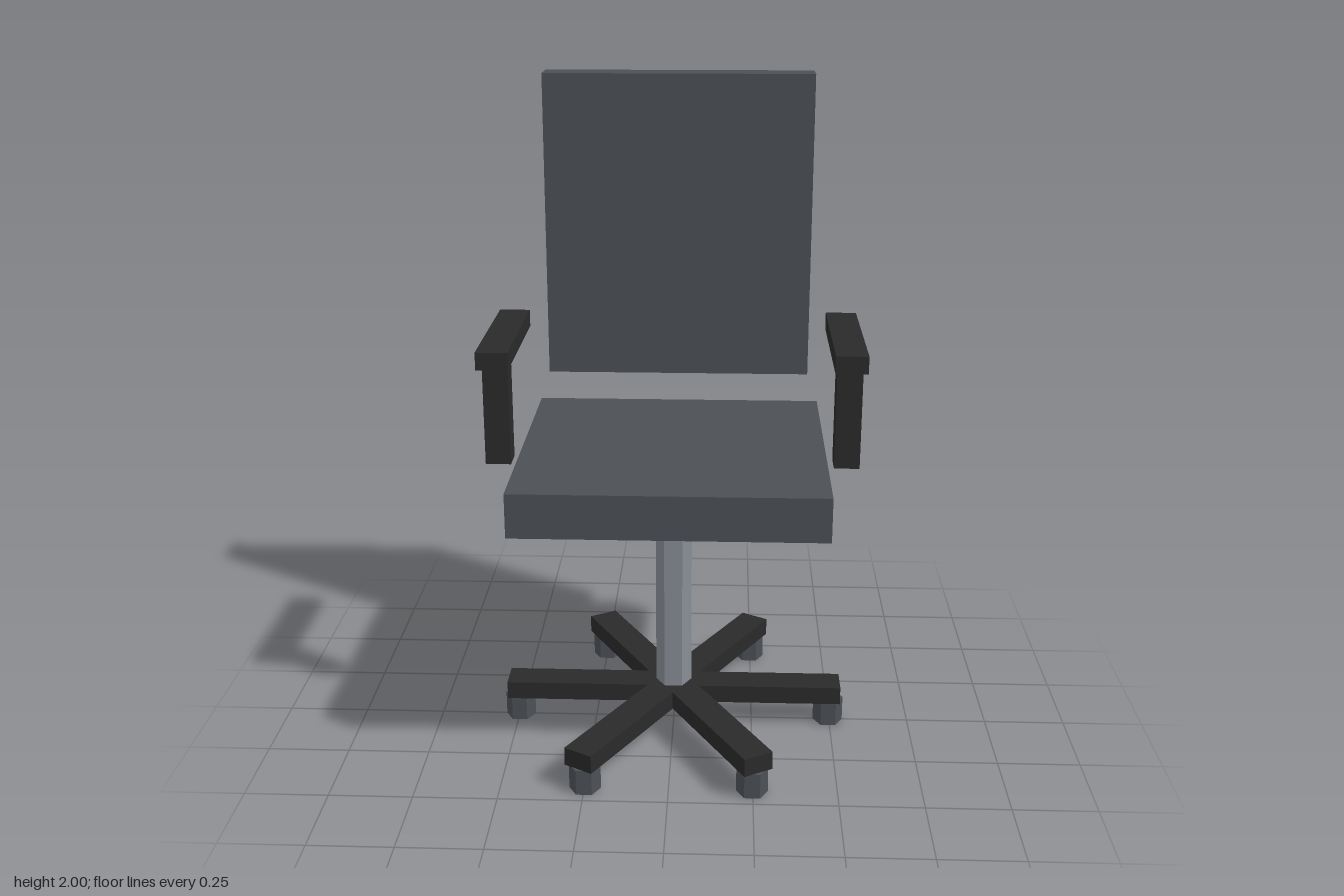
import * as THREE from 'three';

const paint = (name, color) => {
  const m = new THREE.MeshStandardMaterial({ color, flatShading: true });
  m.name = name;
  return m;
};

export function createModel() {
  const upholstery = paint('slate upholstery', 0x4c5055);
  const plastic = paint('black plastic', 0x2a2a2a);
  const steel = paint('grey steel', 0x888c94);
  const casterGrey = paint('caster grey', 0x4c5157);

  const chair = new THREE.Group();
  chair.name = 'officeChair';

  const add = (name, geometry, material, x, y, z, parent = chair) => {
    const mesh = new THREE.Mesh(geometry, material);
    mesh.name = name;
    mesh.position.set(x, y, z);
    parent.add(mesh);
    return mesh;
  };
  const box = (w, h, d) => new THREE.BoxGeometry(w, h, d);
  // Hexagonal prism with two corners on the x axis
  const hexPrism = (radius, height) =>
    new THREE.CylinderGeometry(radius, radius, height, 6).rotateY(Math.PI / 6);

  // Cushions
  add('seat', box(0.912, 0.133, 0.875), upholstery, 0, 0.869, 0);
  add('backrest', box(0.836, 0.95, 0.113), upholstery, 0, 1.525, -0.419);

  // Armrests, one on each side
  for (const side of [1, -1]) {
    const arm = new THREE.Group();
    arm.name = side > 0 ? 'leftArmrest' : 'rightArmrest';
    add('armPad', box(0.094, 0.052, 0.494), plastic, side * 0.513, 1.25, -0.039, arm);
    add('armPost', box(0.075, 0.306, 0.075), plastic, side * 0.513, 1.072, 0.117, arm);
    chair.add(arm);
  }

  // Central column
  add('column', hexPrism(0.056, 0.68), steel, 0, 0.465, 0);

  // Six-spoke base with a caster under each end
  for (let i = 0; i < 6; i++) {
    const angle = (i * Math.PI) / 3;
    const spoke = new THREE.Group();
    spoke.name = `baseSpoke${i + 1}`;
    spoke.rotation.y = angle;
    add('leg', box(0.53, 0.057, 0.095), plastic, 0.265, 0.108, 0, spoke);
    add('caster', hexPrism(0.047, 0.08), casterGrey, 0.495, 0.04, 0, spoke);
    chair.add(spoke);
  }

  return chair;
}
